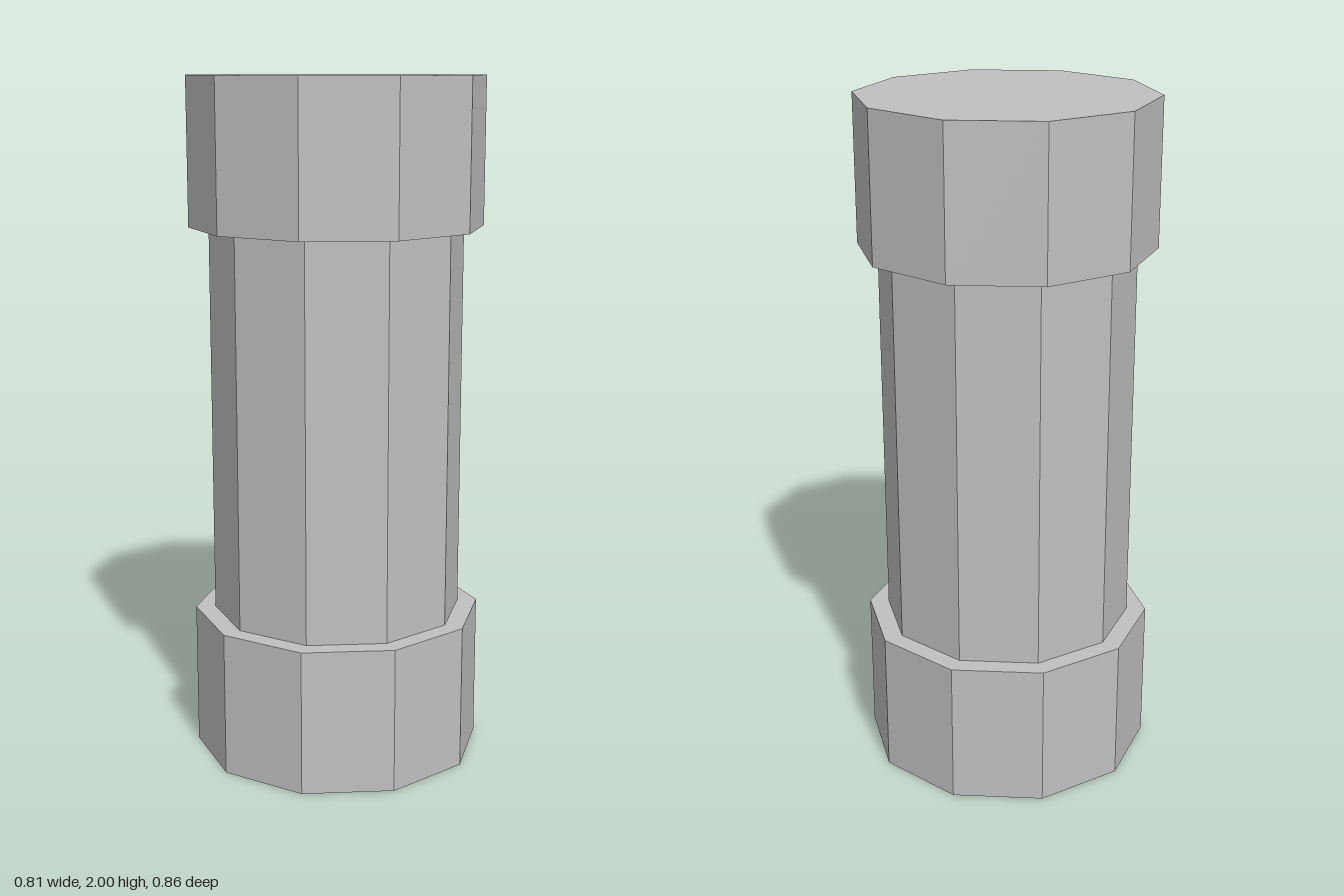
import * as THREE from 'three';

const SIDES = 10;
const HEIGHT = 2;
const CAP_HEIGHT = 0.427;
const CAP_RADIUS = 0.428;
const SHAFT_RADIUS = 0.37;

export function createModel() {
  const model = new THREE.Group();
  model.name = 'column';

  const stone = new THREE.MeshStandardMaterial({ color: 0xc0c0c0, flatShading: true });
  stone.name = 'light grey';

  // Ten-sided prism standing on the given height, with a corner facing the front
  const addPrism = (name, radius, bottom, height, open) => {
    const geometry = new THREE.CylinderGeometry(radius, radius, height, SIDES, 1, open);
    const mesh = new THREE.Mesh(geometry, stone);
    mesh.name = name;
    mesh.position.y = bottom + height / 2;
    model.add(mesh);
  };

  // Wide blocks at both ends, and the slimmer shaft between them
  addPrism('base', CAP_RADIUS, 0, CAP_HEIGHT, false);
  addPrism('shaft', SHAFT_RADIUS, CAP_HEIGHT, HEIGHT - 2 * CAP_HEIGHT, true);
  addPrism('capital', CAP_RADIUS, HEIGHT - CAP_HEIGHT, CAP_HEIGHT, false);

  return model;
}
